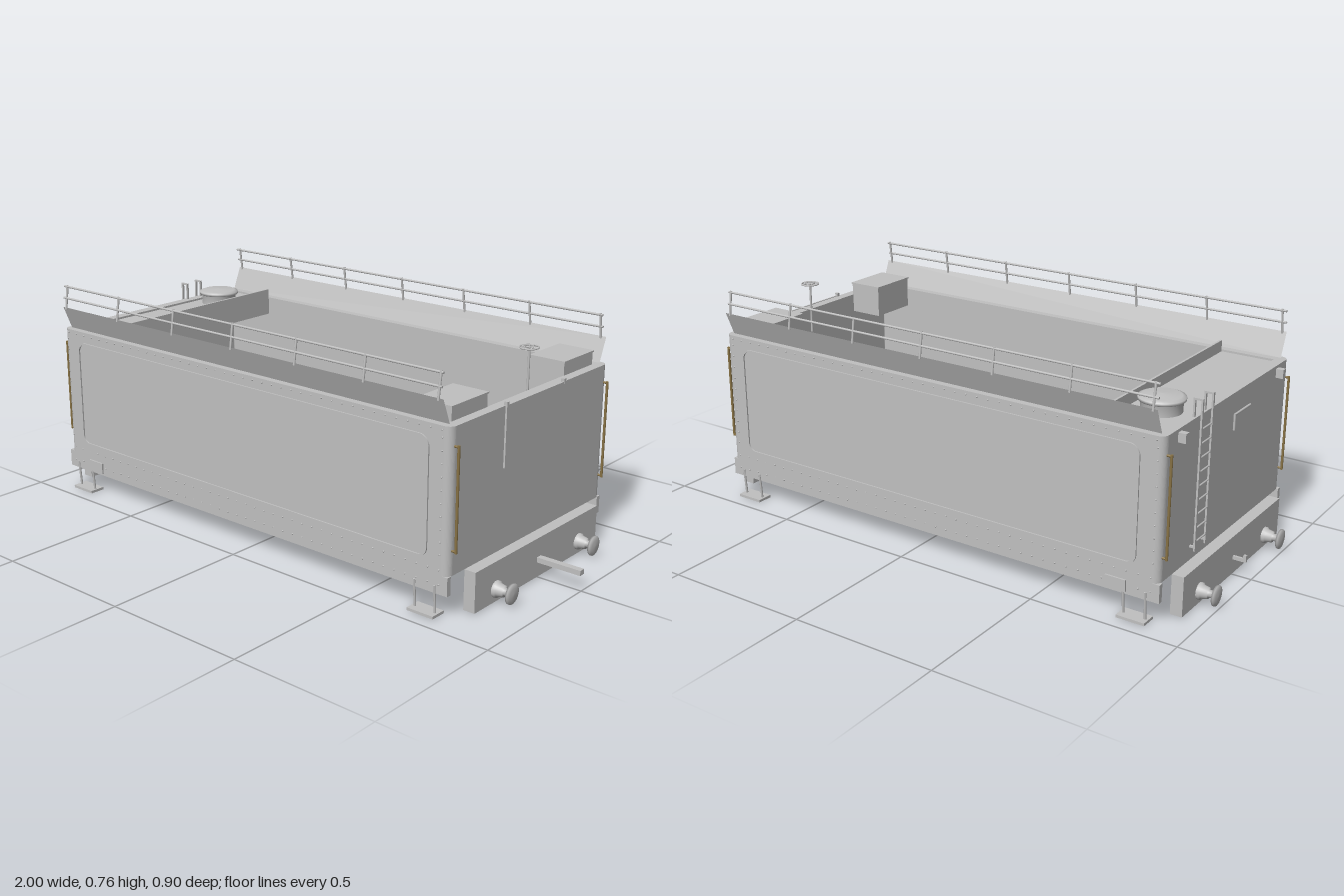
import * as THREE from 'three';
import { mergeGeometries } from 'three/addons/utils/BufferGeometryUtils.js';

export function createModel() {
  const model = new THREE.Group();
  const grey = new THREE.MeshStandardMaterial({ color: 0xc0c0c0, side: THREE.DoubleSide });
  grey.name = 'plainGrey';
  const brass = new THREE.MeshStandardMaterial({ color: 0x8a7446 });
  brass.name = 'agedBrass';

  const add = (name, geo, mat = grey, parent = model) => {
    const mesh = new THREE.Mesh(geo, mat);
    mesh.name = name;
    parent.add(mesh);
    return mesh;
  };
  // Box given by its limits on each axis
  const span = (x0, x1, y0, y1, z0, z1) =>
    new THREE.BoxGeometry(x1 - x0, y1 - y0, z1 - z0)
      .translate((x0 + x1) / 2, (y0 + y1) / 2, (z0 + z1) / 2);
  // Round bar between two points
  const rod = (a, b, r, sides = 8) => {
    const p = new THREE.Vector3(...a), q = new THREE.Vector3(...b);
    const d = q.clone().sub(p);
    const geo = new THREE.CylinderGeometry(r, r, d.length(), sides);
    geo.applyQuaternion(new THREE.Quaternion().setFromUnitVectors(
      new THREE.Vector3(0, 1, 0), d.normalize()));
    return geo.translate((p.x + q.x) / 2, (p.y + q.y) / 2, (p.z + q.z) / 2);
  };
  const roundRect = (x0, x1, y0, y1, r, path = new THREE.Shape()) => {
    path.absarc(x1 - r, y0 + r, r, -Math.PI / 2, 0);
    path.absarc(x1 - r, y1 - r, r, 0, Math.PI / 2);
    path.absarc(x0 + r, y1 - r, r, Math.PI / 2, Math.PI);
    path.absarc(x0 + r, y0 + r, r, Math.PI, Math.PI * 1.5);
    path.closePath();
    return path;
  };

  // Tank shell: rounded corners, open above and below
  const plan = roundRect(-0.895, 0.805, -0.43, 0.43, 0.025);
  plan.holes.push(roundRect(-0.86, 0.77, -0.388, 0.388, 0.002, new THREE.Path()));
  add('tankShell', new THREE.ExtrudeGeometry(plan, { depth: 0.46, bevelEnabled: false, curveSegments: 6 })
    .rotateX(-Math.PI / 2).translate(0, 0.135, 0));

  // Rear deck, coal bulkhead and water filler
  add('rearDeck', span(-0.862, -0.67, 0.58, 0.588, -0.388, 0.388));
  add('coalBulkhead', span(-0.674, -0.666, 0.53, 0.627, -0.388, 0.388));
  const filler = new THREE.LatheGeometry([
    [0.064, 0], [0.064, 0.037], [0.073, 0.037], [0.073, 0.046], [0.06, 0.051], [0, 0.055],
  ].map(p => new THREE.Vector2(...p)), 28);
  add('waterFiller', filler.translate(-0.775, 0.588, -0.225));

  // Lockers at the front corners
  for (const [z0, z1] of [[-0.388, -0.21], [0.205, 0.388]]) {
    add('locker', span(0.648, 0.772, 0.53, 0.637, z0 + 0.003, z1 - 0.003));
    add('lockerLid', span(0.645, 0.775, 0.637, 0.642, z0, z1));
  }

  // Hand brake column and wheel
  const brake = new THREE.Group();
  brake.name = 'handBrake';
  brake.position.set(0.725, 0, -0.08);
  model.add(brake);
  add('brakeColumn', rod([0, 0.53, 0], [0, 0.708, 0], 0.004), grey, brake);
  add('brakeWheel', new THREE.TorusGeometry(0.03, 0.0025, 6, 24)
    .rotateX(Math.PI / 2).translate(0, 0.708, 0), grey, brake);
  for (let i = 0; i < 6; i++) {
    const a = i * Math.PI / 3;
    add('brakeSpoke', rod([0, 0.708, 0], [0.03 * Math.cos(a), 0.708, 0.03 * Math.sin(a)], 0.002, 6), grey, brake);
  }

  // Shovelling plate on the front end
  add('frontDoorPlate', span(0.805, 0.811, 0.4, 0.597, -0.162, 0.162));
  for (const z of [-0.157, 0.157]) add('doorHinge', span(0.8, 0.812, 0.59, 0.607, z - 0.005, z + 0.005));

  // Ladder, pipe and lamp irons on the rear end
  for (const z of [-0.235, -0.165]) {
    add('ladderRail', span(-0.914, -0.908, 0.17, 0.655, z - 0.004, z + 0.004));
    add('ladderHook', span(-0.914, -0.885, 0.649, 0.655, z - 0.004, z + 0.004));
    add('ladderHookEnd', span(-0.889, -0.883, 0.59, 0.655, z - 0.004, z + 0.004));
    add('ladderFoot', span(-0.912, -0.893, 0.18, 0.186, z - 0.004, z + 0.004));
  }
  for (let i = 0; i < 9; i++) {
    const y = 0.2 + i * 0.045;
    add('ladderRung', rod([-0.911, y, -0.235], [-0.911, y, -0.165], 0.003, 6));
  }
  add('rearPipe', rod([-0.9, 0.525, 0.02], [-0.9, 0.525, 0.13], 0.004));
  add('rearPipeDrop', rod([-0.9, 0.475, 0.02], [-0.9, 0.528, 0.02], 0.004));
  for (const z of [-0.34, 0.34]) add('lampIron', span(-0.92, -0.893, 0.555, 0.585, z - 0.01, z + 0.01));

  // End beams, bumpers and couplings
  const bumper = new THREE.LatheGeometry([
    [0.027, 0], [0.027, 0.008], [0.022, 0.012], [0.018, 0.032], [0.012, 0.033],
    [0.012, 0.052], [0.033, 0.054], [0.033, 0.06], [0.02, 0.064], [0, 0.065],
  ].map(p => new THREE.Vector2(...p)), 24);
  for (const [end, x0, x1, face] of [[1, 0.805, 0.845, 0.845], [-1, -0.935, -0.895, -0.935]]) {
    add('endBeam', span(x0, x1, 0.003, 0.135, -0.345, 0.345));
    for (const z of [-0.235, 0.235]) {
      const m = add('bumper', bumper);
      m.rotation.z = -end * Math.PI / 2;
      m.position.set(face, 0.045, z);
    }
  }
  add('drawbar', span(0.845, 1, 0.054, 0.071, -0.011, 0.011));
  add('rearHook', span(-0.98, -0.935, 0.054, 0.066, -0.004, 0.004));
  add('rearHookTip', span(-0.98, -0.97, 0.054, 0.078, -0.004, 0.004));

  // Everything that repeats on the two long sides
  for (const s of [-1, 1]) {
    const zspan = (x0, x1, y0, y1, z0, z1) => s > 0 ? span(x0, x1, y0, y1, z0, z1) : span(x0, x1, y0, y1, -z1, -z0);
    add('sideFrame', zspan(-0.9, 0.805, 0.075, 0.135, 0.413, 0.43));
    add('framePlate', zspan(-0.79, -0.72, 0.083, 0.122, 0.43, 0.436));

    // Raised beading around the side panel
    const bead = roundRect(-0.82, 0.73, 0.177, 0.557, 0.035);
    bead.holes.push(roundRect(-0.813, 0.723, 0.184, 0.55, 0.028, new THREE.Path()));
    add('panelBeading', new THREE.ExtrudeGeometry(bead, { depth: 0.005, bevelEnabled: false, curveSegments: 8 })
      .translate(0, 0, s > 0 ? 0.43 : -0.435));

    // Rivet rows and columns
    const dots = [];
    for (let x = -0.87; x < 0.79; x += 0.0411) for (const y of [0.105, 0.152, 0.583]) dots.push([x, y]);
    for (let y = 0.2; y < 0.57; y += 0.04) for (const x of [-0.875, 0.775]) dots.push([x, y]);
    add('rivets', mergeGeometries(dots.map(([x, y]) =>
      new THREE.SphereGeometry(0.003, 6, 4).translate(x, y, s * 0.43))));

    // Flared coal plate with its guard rails
    const plate = new THREE.PlaneGeometry(1.66, 0.087);
    plate.rotateX(s * Math.atan2(0.033, 0.08)).translate(-0.045, 0.637, s * 0.427);
    add('flaredPlate', plate);
    for (const [y, z] of [[0.71, 0.4375], [0.75, 0.4315]]) add('guardRail', rod([-0.875, y, s * z], [0.775, y, s * z], 0.004));
    for (let i = 0; i < 7; i++) {
      const x = -0.86 + i * 0.271;
      add('guardPost', rod([x, 0.67, s * 0.443], [x, 0.755, s * 0.431], 0.004));
    }

    // Corner handrails with stand-offs
    for (const [x, wall] of [[0.818, 0.8], [-0.908, -0.89]]) {
      add('cornerHandrail', rod([x, 0.21, s * 0.41], [x, 0.54, s * 0.41], 0.0045), brass);
      for (const y of [0.215, 0.535]) add('handrailStud', rod([wall, y, s * 0.41], [x, y, s * 0.41], 0.004), brass);
    }

    // Hanging footsteps
    for (const x of [-0.8175, 0.7225]) {
      add('footstep', zspan(x - 0.048, x + 0.048, 0, 0.009, 0.395, 0.45));
      for (const dx of [-0.037, 0.037]) add('stepHanger', rod([x + dx, 0.005, s * 0.424], [x + dx, 0.1, s * 0.431], 0.004));
    }
  }
  return model;
}
